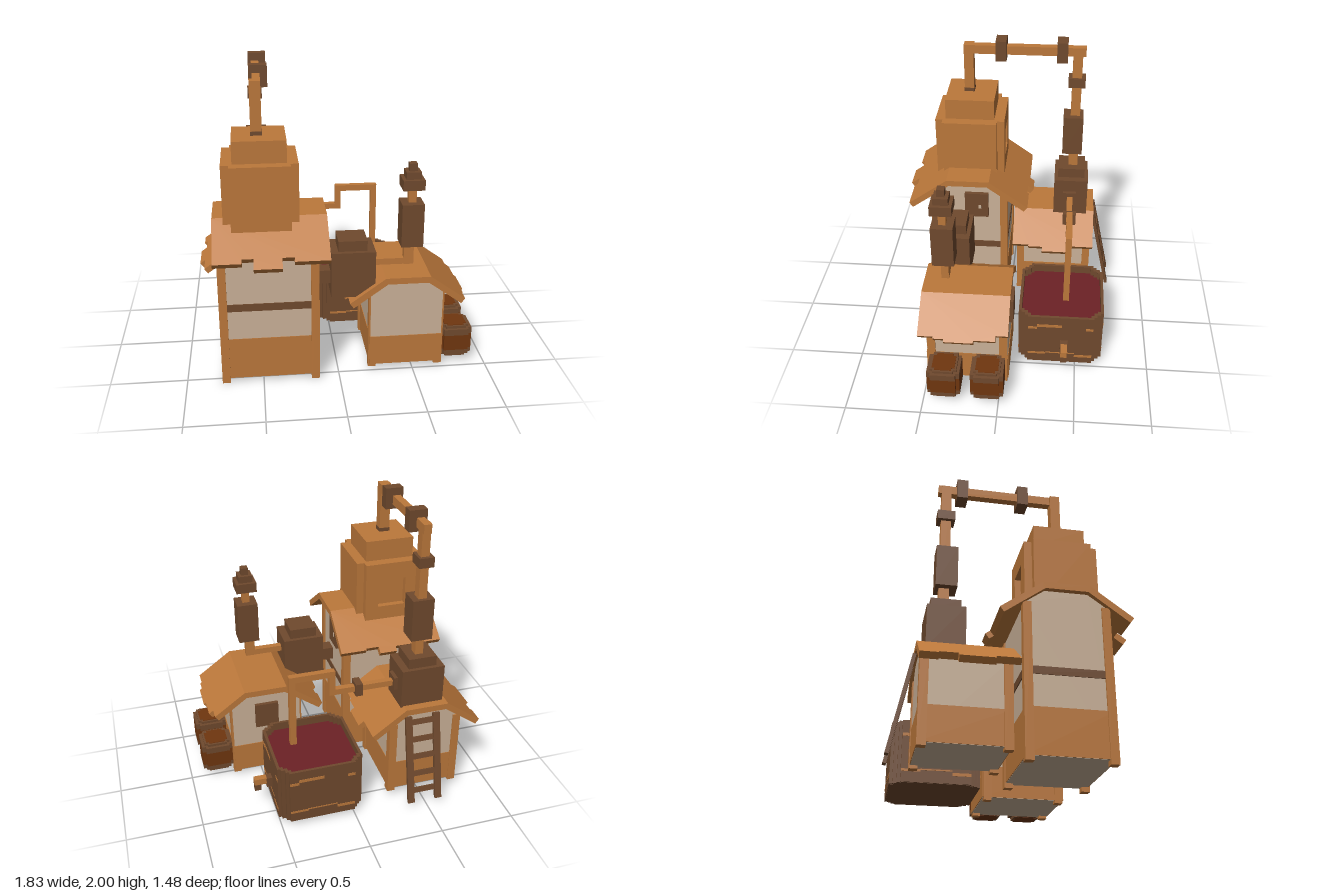
import * as THREE from 'three';

export function createModel() {
  const root = new THREE.Group();
  const mat = (name, color, side = THREE.FrontSide) => {
    const m = new THREE.MeshStandardMaterial({ color, side });
    m.name = name;
    return m;
  };
  const wood = mat('honey wood', 0xbc783b);
  const dark = mat('dark wood', 0x704a2e);
  const plaster = mat('plaster', 0xcbb299);
  const rust = mat('rust barrel wood', 0x70360f);
  const wine = mat('wine', 0x6c2126);

  const add = (name, geo, m, parent = root) => {
    const mesh = new THREE.Mesh(geo, m);
    mesh.name = name;
    parent.add(mesh);
    return mesh;
  };
  // Box given by its limits on each axis
  const box = (name, m, [x0, x1], [y0, y1], [z0, z1], parent = root) => {
    const mesh = add(name, new THREE.BoxGeometry(x1 - x0, y1 - y0, z1 - z0), m, parent);
    mesh.position.set((x0 + x1) / 2, (y0 + y1) / 2, (z0 + z1) / 2);
    return mesh;
  };
  // Square block with notched vertical corners
  const notched = (name, m, [x0, x1], y, [z0, z1], n) => {
    box(name, m, [x0, x1], y, [z0 + n, z1 - n]);
    box(name, m, [x0 + n, x1 - n], y, [z0, z1]);
  };

  // ---- Houses: ridge along local z, roof with flat top and ragged eaves ----
  const PITCH = Math.atan(0.725), FLAT = 0.147, THICK = 0.042;

  // steps: [start, end, reach] with reach measured sideways from the ridge centre
  function slope(parent, side, top, steps) {
    const c = Math.cos(PITCH), s = Math.sin(PITCH);
    const pts = [[steps[0][0], 0]];
    for (const [a, b, reach] of steps) {
      const d = (reach - FLAT) / c;
      pts.push([a, d], [b, d]);
    }
    pts.push([steps[steps.length - 1][1], 0]);
    const shape = new THREE.Shape(pts.map(([t, d]) => new THREE.Vector2(side * t, d)));
    const geo = new THREE.ExtrudeGeometry(shape, { depth: THICK, bevelEnabled: false });
    geo.translate(0, 0, -THICK);
    geo.applyMatrix4(new THREE.Matrix4().makeBasis(
      new THREE.Vector3(0, 0, side),
      new THREE.Vector3(side * c, -s, 0),
      new THREE.Vector3(side * s, c, 0)));
    geo.translate(side * FLAT, top, 0);
    add('roofSlope', geo, wood, parent);
  }

  function house({ name, x, z, turn = 0, half, len, base, foot, woodTop, top, endInset, roof, right, left }) {
    const g = new THREE.Group();
    g.name = name;
    g.position.set(x, 0, z);
    g.rotation.y = turn;
    root.add(g);
    const under = (w) => top - 0.05 - Math.max(0, w - FLAT) * 0.725;
    const hw = half - 0.012, hl = len / 2 - endInset;
    // plaster body with gable ends
    const profile = new THREE.Shape([
      [-hw, base], [hw, base], [hw, under(hw)], [FLAT - 0.012, top - 0.045],
      [-FLAT + 0.012, top - 0.045], [-hw, under(hw)],
    ].map((p) => new THREE.Vector2(...p)));
    const geo = new THREE.ExtrudeGeometry(profile, { depth: 2 * hl, bevelEnabled: false });
    add('plasterWalls', geo.translate(0, 0, -hl), plaster, g);
    // wooden lower walls, leaving the floor plaster
    const e = 0.004;
    box('woodenSkirt', wood, [-hw - e, hw + e], [base + 0.002, woodTop], [-hl - e, hl + e], g);
    // corner posts
    for (const sx of [-1, 1]) for (const sz of [-1, 1]) {
      const p = box('cornerPost', wood, [-0.0265, 0.0265], [foot, under(half) + 0.01], [-0.0265, 0.0265], g);
      p.position.x = sx * (half - 0.0265);
      p.position.z = sz * (len / 2 - 0.0265 - (endInset ? 0 : 0.004));
    }
    box('roofRidge', wood, [-FLAT, FLAT], [top - THICK, top], roof, g);
    slope(g, 1, top, right);
    slope(g, -1, top, left);
    return g;
  }

  const tall = house({
    name: 'tallHouse', x: -0.45, z: 0.287, turn: Math.PI / 2, half: 0.272, len: 0.64,
    base: 0.03, foot: 0, woodTop: 0.32, top: 1.118, endInset: 0.012, roof: [-0.34, 0.38],
    right: [[-0.34, -0.01, 0.415], [-0.01, 0.11, 0.445], [0.11, 0.2, 0.405], [0.2, 0.38, 0.415]],
    left: [[-0.34, -0.16, 0.415], [-0.16, -0.09, 0.39], [-0.09, 0.085, 0.45], [0.085, 0.16, 0.39], [0.16, 0.38, 0.415]],
  });
  // dark beam around the tall house
  box('beltBeam', dark, [-0.266, 0.266], [0.52, 0.57], [-0.313, 0.313], tall);

  house({
    name: 'sideHouse', x: 0.45, z: 0.22, half: 0.25, len: 0.54,
    base: 0.04, foot: 0.02, woodTop: 0.25, top: 0.688, endInset: 0, roof: [-0.28, 0.3],
    right: [[-0.28, -0.2, 0.36], [-0.2, -0.06, 0.39], [-0.06, 0.13, 0.405], [0.13, 0.2, 0.39], [0.2, 0.3, 0.38]],
    left: [[-0.28, -0.16, 0.4], [-0.16, -0.06, 0.38], [-0.06, 0.13, 0.412], [0.13, 0.3, 0.38]],
  });
  house({
    name: 'backHouse', x: -0.515, z: -0.315, half: 0.25, len: 0.54,
    base: 0.07, foot: 0.05, woodTop: 0.29, top: 0.716, endInset: 0.008, roof: [-0.285, 0.295],
    right: [[-0.285, -0.1, 0.375], [-0.1, 0.08, 0.412], [0.08, 0.18, 0.385], [0.18, 0.295, 0.375]],
    left: [[-0.285, -0.175, 0.385], [-0.175, -0.065, 0.365], [-0.065, 0.145, 0.405], [0.145, 0.295, 0.37]],
  });

  // Shuttered windows on two gables
  box('tallHouseWindow', dark, [-0.15, -0.115], [0.8, 0.99], [0.15, 0.315]);
  box('windowPane', plaster, [-0.116, -0.112], [0.87, 0.9], [0.2, 0.22]);
  box('sideHouseWindow', dark, [0.37, 0.53], [0.4, 0.58], [-0.075, -0.04]);

  // ---- Chimney tower with a recessed niche at the back ----
  box('tower', wood, [-0.72, -0.245], [0.97, 1.47], [0.1, 0.475]);
  box('tower', wood, [-0.67, -0.295], [0.97, 1.47], [0.09, 0.525]);
  box('towerCap', wood, [-0.65, -0.315], [1.46, 1.612], [0.12, 0.455]);
  const rect = (C, x0, x1, y0, y1) =>
    new C([[x0, y0], [x1, y0], [x1, y1], [x0, y1]].map((p) => new THREE.Vector2(...p)));
  const niche = rect(THREE.Shape, -0.67, -0.295, 0.97, 1.47);
  niche.holes.push(rect(THREE.Path, -0.58, -0.385, 1.15, 1.35));
  add('towerNiche', new THREE.ExtrudeGeometry(niche, { depth: 0.045, bevelEnabled: false }).translate(0, 0, 0.05), wood);

  // ---- Main pipe from the tower over to the rear still ----
  box('pipeBase', dark, [-0.532, -0.458], [1.6, 1.637], [0.268, 0.337]);
  box('mainPipeRise', wood, [-0.53, -0.46], [1.63, 1.95], [0.27, 0.335]);
  box('mainPipeSpan', wood, [-0.51, -0.46], [1.89, 1.95], [-0.485, 0.3]);
  box('mainPipeDrop', wood, [-0.515, -0.46], [1.04, 1.948], [-0.465, -0.4]);
  for (const z of [0.08, -0.328]) box('pipeCollar', dark, [-0.53, -0.413], [1.86, 2], [z - 0.036, z + 0.036]);
  box('pipeCollar', dark, [-0.54, -0.442], [1.67, 1.735], [-0.49, -0.375]);
  box('pipeDrum', dark, [-0.56, -0.418], [1.165, 1.45], [-0.49, -0.352]);

  // ---- Rear still and its pipe to the vat ----
  box('rearStill', dark, [-0.64, -0.35], [0.69, 0.98], [-0.545, -0.305]);
  box('rearStillLid', dark, [-0.59, -0.4], [0.97, 1.05], [-0.52, -0.33]);
  box('stillOutlet', dark, [-0.36, -0.325], [0.8, 0.89], [-0.465, -0.37]);
  const z = [-0.44, -0.4];
  box('vatPipe', wood, [-0.33, 0.11], [0.82, 0.86], z);
  box('vatPipe', wood, [0.07, 0.11], [0.82, 1], z);
  box('vatPipe', wood, [0.07, 0.375], [0.957, 1], z);
  box('vatPipe', wood, [0.333, 0.375], [0.48, 1], z);
  box('vatPipeCollar', dark, [-0.11, -0.063], [0.798, 0.885], [-0.465, -0.375]);

  // ---- Front still with its stack ----
  box('frontStill', dark, [-0.047, 0.24], [0.55, 0.862], [0.245, 0.483]);
  box('frontStillLid', dark, [0, 0.188], [0.85, 0.932], [0.272, 0.455]);
  box('stillBracket', dark, [-0.15, -0.04], [0.62, 0.712], [0.315, 0.41]);
  box('stackPipe', wood, [0.23, 0.5], [0.73, 0.772], [0.352, 0.395]);
  box('stackPipe', wood, [0.435, 0.5], [0.73, 0.88], [0.35, 0.4]);
  box('stackDrum', dark, [0.408, 0.55], [0.87, 1.16], [0.305, 0.447]);
  box('stackNeck', wood, [0.455, 0.505], [1.15, 1.26], [0.352, 0.4]);
  [[0.07, 1.255, 1.322], [0.048, 1.32, 1.37], [0.025, 1.368, 1.42]].forEach(([r, y0, y1]) =>
    box('stackCap', dark, [0.479 - r, 0.479 + r], [y0, y1], [0.376 - r, 0.376 + r]));

  // ---- Wine vat: stepped octagonal tub ----
  const steppedOutline = (C, h, a, b) => {
    const corner = [[h, h - a - b], [h - b, h - a - b], [h - b, h - a], [h - a, h - a],
      [h - a, h - b], [h - a - b, h - b], [h - a - b, h]];
    const pts = [];
    for (let k = 0; k < 4; k++) for (const [x, y] of corner) {
      const q = k * Math.PI / 2;
      pts.push(new THREE.Vector2(x * Math.cos(q) - y * Math.sin(q), x * Math.sin(q) + y * Math.cos(q)));
    }
    return new C(pts);
  };
  const vat = new THREE.Group();
  vat.name = 'wineVat';
  vat.position.set(0.222, 0, -0.392);
  root.add(vat);
  const prism = (shape, y0, y1) =>
    new THREE.ExtrudeGeometry(shape, { depth: y1 - y0, bevelEnabled: false }).rotateX(-Math.PI / 2).translate(0, y0, 0);
  const ring = steppedOutline(THREE.Shape, 0.287, 0.045, 0.02);
  ring.holes.push(steppedOutline(THREE.Path, 0.268, 0.045, 0.02));
  add('vatWall', prism(ring, 0.04, 0.44), dark, vat);
  add('vatFloor', prism(steppedOutline(THREE.Shape, 0.28, 0.045, 0.02), 0.038, 0.07), dark, vat);
  add('wineSurface', prism(steppedOutline(THREE.Shape, 0.27, 0.045, 0.02), 0.07, 0.385), wine, vat);
  // worn hoops on each side
  for (let k = 0; k < 4; k++) {
    const side = new THREE.Group();
    side.name = 'vatHoops';
    side.rotation.y = k * Math.PI / 2;
    vat.add(side);
    for (const [a, b, y, h] of [[-0.22, -0.16, 0.345, 0.02], [-0.16, 0.01, 0.365, 0.022], [0.17, 0.22, 0.345, 0.02],
      [-0.22, -0.1, 0.115, 0.016], [-0.1, 0.1, 0.122, 0.008], [0.1, 0.22, 0.1, 0.02]])
      box('hoop', wood, [a, b], [y - h / 2, y + h / 2], [0.285, 0.289], side);
  }
  // tap
  box('tapValve', dark, [0.505, 0.547], [0.17, 0.24], [-0.445, -0.393]);
  box('tapSpout', wood, [0.545, 0.628], [0.195, 0.24], [-0.44, -0.397]);
  box('tapNozzle', dark, [0.585, 0.628], [0.15, 0.196], [-0.44, -0.397]);

  // ---- Barrels by the side house ----
  for (const cz of [0.36, 0.075]) {
    const span = (r) => [[0.803 - r, 0.803 + r], [cz - r, cz + r]];
    const layer = (name, m, r, y, n) => notched(name, m, span(r)[0], y, span(r)[1], n);
    layer('barrelEnds', dark, 0.088, [0.045, 0.272], 0.02);
    layer('barrelLid', rust, 0.075, [0.043, 0.276], 0.02);
    layer('barrelLowerHoop', dark, 0.108, [0.07, 0.1], 0.025);
    layer('barrelStaves', rust, 0.108, [0.1, 0.21], 0.025);
    layer('barrelUpperHoop', dark, 0.108, [0.21, 0.255], 0.025);
  }

  // ---- Ladder leaning on the back house ----
  const ladder = new THREE.Group();
  ladder.name = 'ladder';
  ladder.position.set(-0.48, 0.355, -0.667);
  ladder.rotation.x = Math.atan2(0.13, 0.61);
  root.add(ladder);
  for (const s of [-1, 1])
    box('ladderRail', dark, [s * 0.097 - 0.023, s * 0.097 + 0.023], [-0.315, 0.315], [-0.011, 0.011], ladder);
  for (let i = 0; i < 5; i++)
    box('ladderRung', dark, [-0.09, 0.09], [-0.245 + i * 0.125, -0.21 + i * 0.125], [-0.008, 0.008], ladder);

  return root;
}
